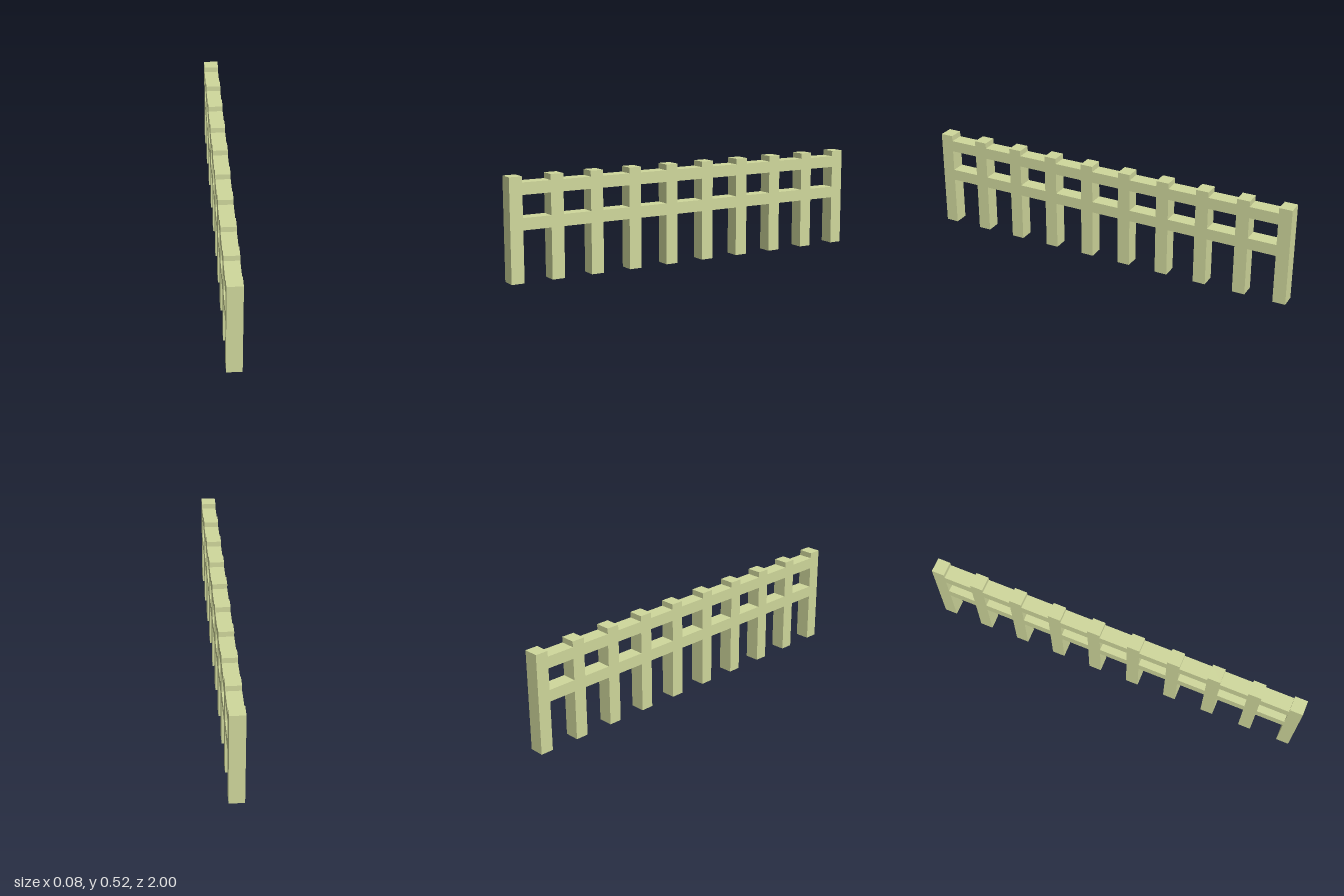
import * as THREE from 'three';

export function createModel() {
  const fence = new THREE.Group();
  fence.name = 'fence';
  const material = new THREE.MeshStandardMaterial({ color: 0xd0d89c, flatShading: true });

  const postCount = 10;
  const postWidth = 0.067;
  const postHeight = 0.518;
  const thickness = 0.077;
  const spacing = (2 - postWidth) / (postCount - 1);
  const railHeight = 0.06;
  const railLevels = { lowerRail: 0.288, upperRail: 0.459 };

  const postGeometry = new THREE.BoxGeometry(thickness, postHeight, postWidth);
  const railGeometry = new THREE.BoxGeometry(thickness, railHeight, spacing - postWidth);

  function addPart(name, geometry, y, z) {
    const mesh = new THREE.Mesh(geometry, material);
    mesh.name = name;
    mesh.position.set(0, y, z);
    fence.add(mesh);
  }

  for (let i = 0; i < postCount; i++) {
    const z = 1 - postWidth / 2 - i * spacing;
    // Upright post
    addPart(`post${i + 1}`, postGeometry, postHeight / 2, z);
    // Rail pieces filling the gap to the next post, flush with its faces
    if (i < postCount - 1) {
      for (const [name, y] of Object.entries(railLevels)) {
        addPart(`${name}${i + 1}`, railGeometry, y, z - spacing / 2);
      }
    }
  }
  return fence;
}
